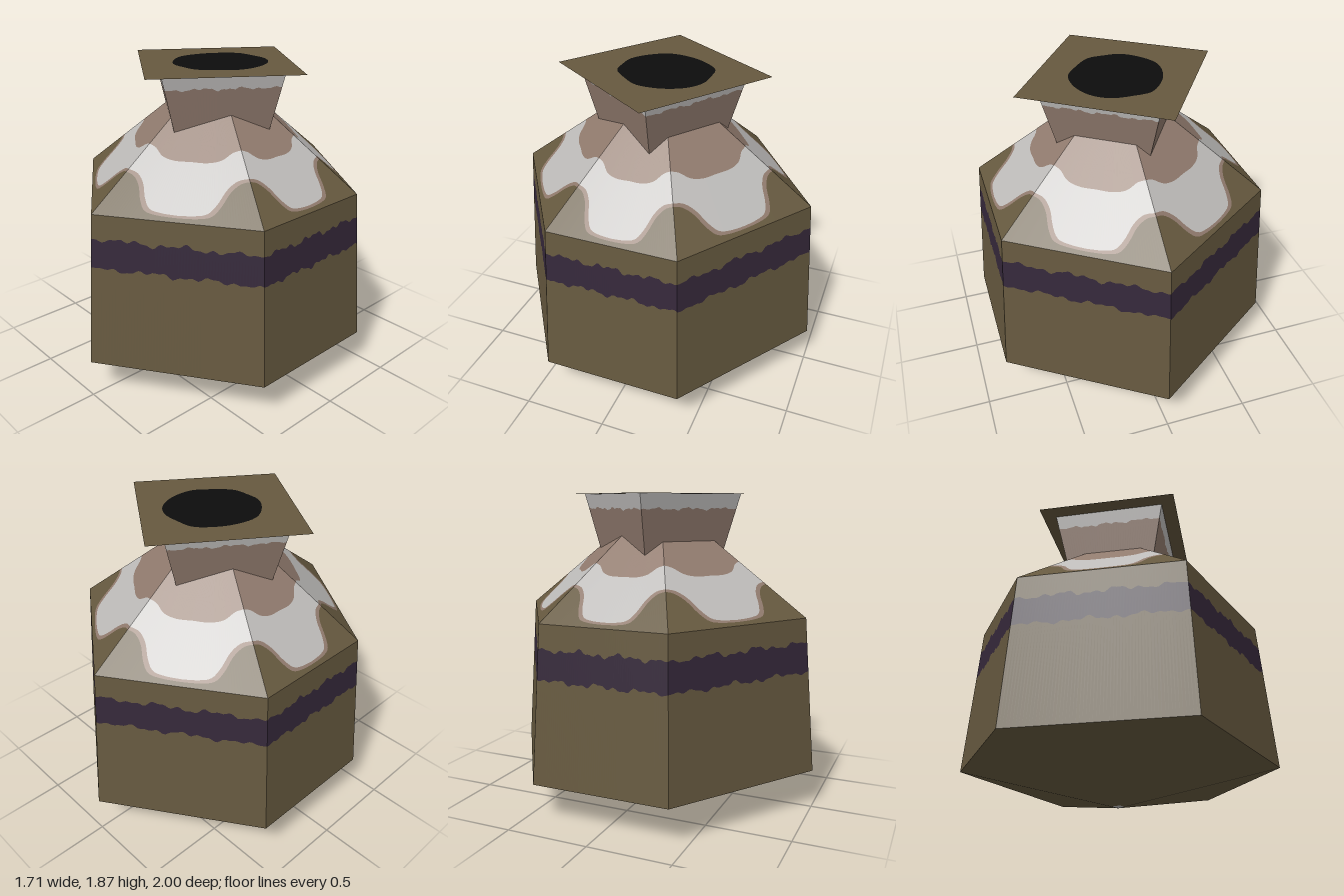
import * as THREE from 'three';

const mat = (name, color) => Object.assign(new THREE.MeshStandardMaterial({ color }), { name });

// Plan outlines as [x, z], running from the front towards +x
const HEX = [[0, 1], [0.857, 0.42], [0.857, -0.42], [0, -1], [-0.857, -0.42], [-0.857, 0.42]];
const NECK = [[0.09, 0.487], [0.48, -0.085], [-0.09, -0.475], [-0.485, 0.09]];
const LIP = [[0.11, 0.61], [0.61, -0.11], [-0.11, -0.61], [-0.61, 0.12]];
const MOUTH = [[0, -0.29], [0.12, -0.28], [0.21, -0.22], [0.27, -0.1], [0.27, 0.05], [0.2, 0.15], [0.1, 0.24],
  [0, 0.25], [-0.1, 0.24], [-0.2, 0.16], [-0.26, 0.05], [-0.24, -0.1], [-0.17, -0.22], [-0.1, -0.28]];

// Flat-sided strip around a plan outline, between two height curves of (u across a face, face number)
function band(name, ring, scaleAt, low, high, material, steps = 1) {
  const pos = [];
  ring.forEach((a, f) => {
    const b = ring[(f + 1) % ring.length];
    const point = (u, curve) => {
      const y = curve(u, f), s = scaleAt(y);
      return [(a[0] + (b[0] - a[0]) * u) * s, y, (a[1] + (b[1] - a[1]) * u) * s];
    };
    for (let i = 0; i < steps; i++) {
      const u = i / steps, v = (i + 1) / steps;
      const p = point(u, low), q = point(v, low), r = point(v, high), t = point(u, high);
      pos.push(...p, ...q, ...r, ...p, ...r, ...t);
    }
  });
  const g = new THREE.BufferGeometry();
  g.setAttribute('position', new THREE.Float32BufferAttribute(pos, 3));
  g.computeVertexNormals();
  const m = new THREE.Mesh(g, material);
  m.name = name;
  return m;
}

const level = y => () => y;
// Ragged paint edge, returning to its base height at the face corners
const ragged = (y, size, seed) => (u, f) => {
  const k = u * Math.PI * 2;
  return y + size * Math.sin(Math.PI * u) ** 0.3 * (0.5 * Math.sin(3 * k + seed + f)
    + 0.45 * Math.sin(7 * k + seed * 2 + f) + 0.35 * Math.sin(13 * k + seed * 3));
};
// Symmetric curve from [u, y] points covering half of a face
function halfCurve(points) {
  const spline = new THREE.SplineCurve(points.map(p => new THREE.Vector2(...p))).getPoints(60);
  return u => {
    const h = Math.min(u, 1 - u);
    for (let i = 1; i < spline.length; i++) {
      const a = spline[i - 1], b = spline[i];
      if (h <= b.x) return a.y + (b.y - a.y) * (h - a.x) / (b.x - a.x);
    }
    return spline[spline.length - 1].y;
  };
}

function flatShape(name, shape, y, material) {
  const m = new THREE.Mesh(new THREE.ShapeGeometry(shape, 6), material);
  m.name = name;
  m.rotation.x = -Math.PI / 2;
  m.position.y = y;
  return m;
}

export function createModel() {
  const olive = mat('olive clay', 0x66593f);
  const tan = mat('tan clay', 0x917b6e);
  const pale = mat('pale glaze', 0xbebcba);
  const purple = mat('dark purple paint', 0x35283a);
  const black = mat('black opening', 0x0d0d0d);
  olive.side = THREE.DoubleSide;

  const model = new THREE.Group();
  model.name = 'jar';

  // Pointed base with a small pale tip
  const baseScale = y => y / 0.23;
  model.add(
    band('baseTip', HEX, baseScale, level(0), level(0.008), pale),
    band('base', HEX, baseScale, level(0.008), level(0.23), olive));

  // Tapered body with a ragged painted stripe
  const bodyScale = y => 1 - 0.075 * (y - 0.23) / 0.925;
  const stripeLow = ragged(0.838, 0.018, 1), stripeHigh = ragged(1.012, 0.02, 4);
  model.add(
    band('lowerBody', HEX, bodyScale, level(0.23), stripeLow, olive, 60),
    band('bodyStripe', HEX, bodyScale, stripeLow, stripeHigh, purple, 60),
    band('upperBody', HEX, bodyScale, stripeHigh, level(1.155), olive, 60));

  // Shoulder with one glaze drip running down each face
  const shoulderScale = y => 0.925 * (1.858 - y) / 0.703;
  const drip = halfCurve([[0, 1.355], [0.1, 1.34], [0.19, 1.3], [0.26, 1.24], [0.32, 1.2], [0.4, 1.187], [0.5, 1.183]]);
  const rim = u => Math.min(...[-0.024, -0.012, 0, 0.012, 0.024].map(d =>
    drip(Math.min(1, Math.max(0, u + d))))) - 0.01;
  const glazeTop = halfCurve([[0, 1.47], [0.1, 1.455], [0.22, 1.42], [0.35, 1.405], [0.5, 1.405]]);
  model.add(
    band('shoulder', HEX, shoulderScale, level(1.155), rim, olive, 60),
    band('dripOutline', HEX, shoulderScale, rim, drip, tan, 60),
    band('glazeDrips', HEX, shoulderScale, drip, glazeTop, pale, 60),
    band('upperShoulder', HEX, shoulderScale, glazeTop, level(1.75), tan, 60));

  // Flared square neck
  const neckScale = y => 1 - (1.865 - y) * 0.6;
  const neckEdge = ragged(1.778, 0.011, 2);
  model.add(
    band('neck', NECK, neckScale, level(1.45), neckEdge, tan, 40),
    band('neckGlaze', NECK, neckScale, neckEdge, level(1.865), pale, 40));

  // Thin square lip around a dark mouth
  const flat = points => points.map(([x, z]) => new THREE.Vector2(x, -z));
  const outline = new THREE.CatmullRomCurve3(MOUTH.map(([x, z]) => new THREE.Vector3(x, -z, 0)), true)
    .getPoints(70).slice(0, -1).map(p => new THREE.Vector2(p.x, p.y));
  const lip = new THREE.Shape(flat(LIP));
  lip.holes.push(new THREE.Path(outline));
  model.add(
    flatShape('lip', lip, 1.866, olive),
    flatShape('mouth', new THREE.Shape(outline), 1.866, black));

  return model;
}
